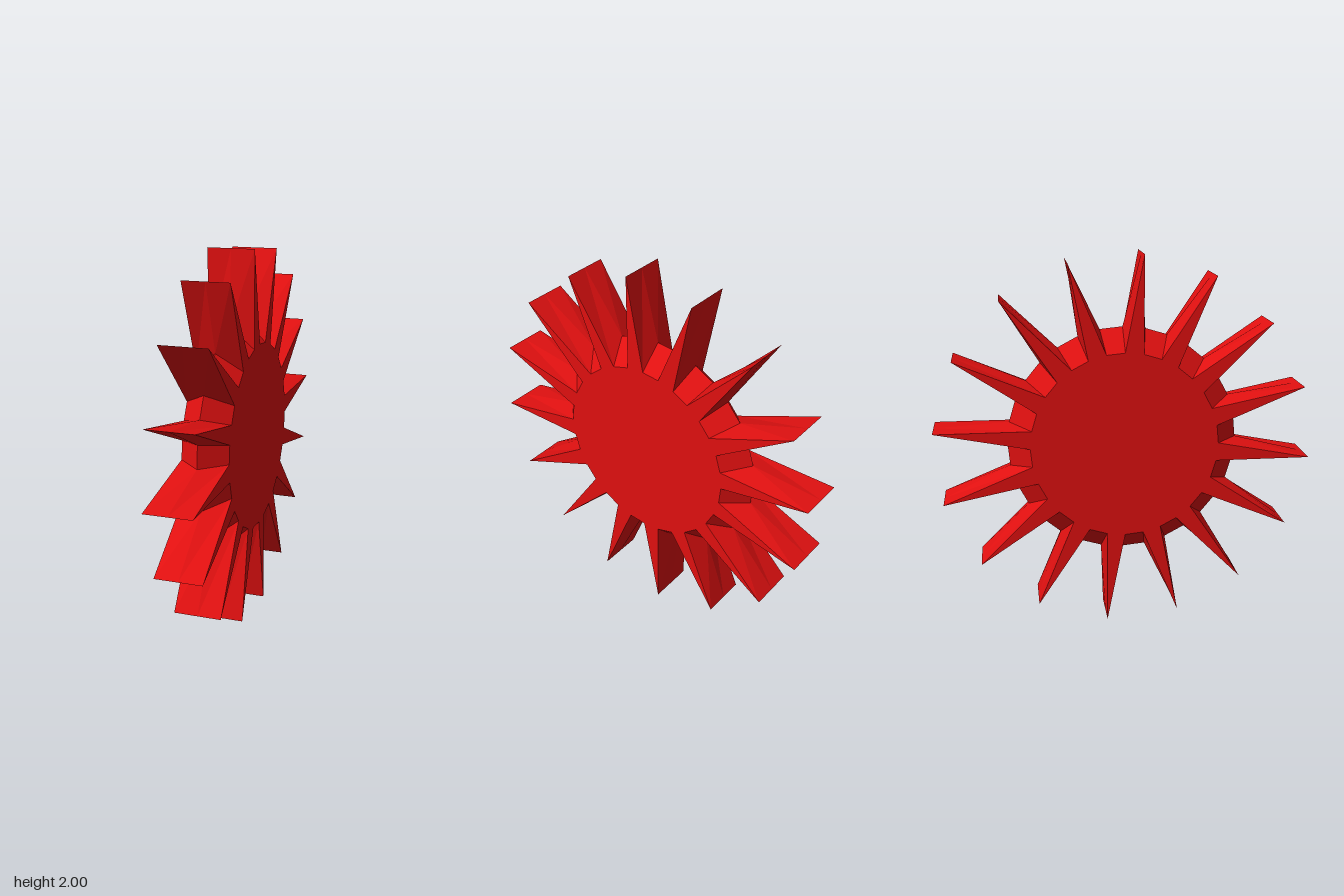
import * as THREE from 'three';

const TEETH = 16;
const HALF_WIDTH = 0.125;
const TIP_RADIUS = 1.005;
const STEP = (Math.PI * 2) / TEETH;

// One ring of the wheel: each tooth gives two valley corners and one sharp tip.
function ring(x, valleyRadius) {
  const points = [];
  const add = (angle, r) =>
    points.push(new THREE.Vector3(x, 1 + r * Math.cos(angle), -r * Math.sin(angle)));
  for (let i = 0; i < TEETH; i++) {
    const a = i * STEP;
    add(a, valleyRadius);
    add(a + STEP * 0.5, valleyRadius);
    add(a + STEP * 0.75, TIP_RADIUS);
  }
  return points;
}

function meshFrom(name, corners, material) {
  const geometry = new THREE.BufferGeometry().setFromPoints(corners);
  geometry.computeVertexNormals();
  const mesh = new THREE.Mesh(geometry, material);
  mesh.name = name;
  return mesh;
}

// Strip of faces joining two rings, from lower x to higher x.
function band(name, low, high, material) {
  const corners = [];
  low.forEach((p, i) => {
    const n = (i + 1) % low.length;
    corners.push(p, high[i], high[n], p, high[n], low[n]);
  });
  return meshFrom(name, corners, material);
}

// Flat star-shaped side, fanned out from the hub centre.
function side(name, points, x, material) {
  const center = new THREE.Vector3(x, 1, 0);
  const corners = [];
  points.forEach((p, i) => {
    const next = points[(i + 1) % points.length];
    corners.push(center, ...(x > 0 ? [next, p] : [p, next]));
  });
  return meshFrom(name, corners, material);
}

export function createModel() {
  const group = new THREE.Group();
  group.name = 'spikedWheel';
  const red = new THREE.MeshStandardMaterial({ color: 0xe01010, flatShading: true });
  red.name = 'red';

  // The valleys rise to a ridge in the middle; the tips run straight across.
  const right = ring(-HALF_WIDTH, 0.5);
  const middle = ring(0, 0.617);
  const left = ring(HALF_WIDTH, 0.5);

  group.add(
    side('rightFace', right, -HALF_WIDTH, red),
    band('rightSpikedRim', right, middle, red),
    band('leftSpikedRim', middle, left, red),
    side('leftFace', left, HALF_WIDTH, red)
  );
  return group;
}
